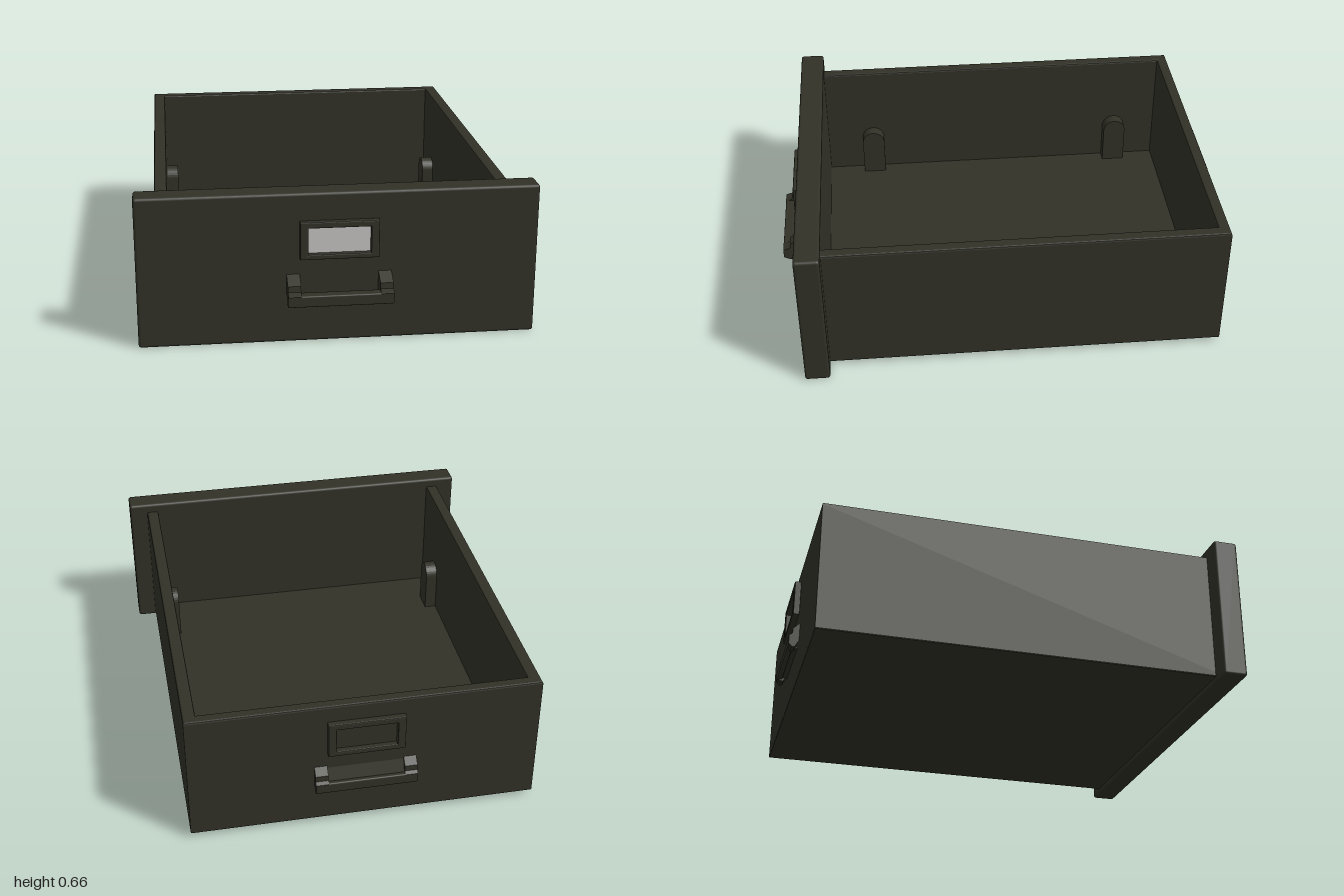
import * as THREE from 'three';
import { RoundedBoxGeometry } from 'three/addons/geometries/RoundedBoxGeometry.js';

export function createModel() {
  const model = new THREE.Group();
  const metal = new THREE.MeshStandardMaterial({ color: 0x313127 });
  metal.name = 'darkOliveMetal';
  const paper = new THREE.MeshStandardMaterial({ color: 0xc8c4c4 });
  paper.name = 'paleCard';

  const add = (parent, name, geometry, material = metal) => {
    const mesh = new THREE.Mesh(geometry, material);
    mesh.name = name;
    parent.add(mesh);
    return mesh;
  };
  // Box given by its limits on each axis, edges softened by r
  const box = (x0, x1, y0, y1, z0, z1, r = 0) => {
    const s = [x1 - x0, y1 - y0, z1 - z0];
    const g = r ? new RoundedBoxGeometry(...s, 2, r) : new THREE.BoxGeometry(...s);
    return g.translate((x0 + x1) / 2, (y0 + y1) / 2, (z0 + z1) / 2);
  };
  const rect = (target, x0, x1, y0, y1) => {
    target.moveTo(x0, y0).lineTo(x1, y0).lineTo(x1, y1).lineTo(x0, y1).closePath();
    return target;
  };
  // Rectangular ring with softened edges, standing from z = 0 to depth
  const ring = (outer, inner, depth, b) => {
    const [x0, x1, y0, y1] = outer;
    const shape = rect(new THREE.Shape(), x0 + b, x1 - b, y0 + b, y1 - b);
    const [u0, u1, v0, v1] = inner;
    shape.holes.push(rect(new THREE.Path(), u0 - b, u1 + b, v0 - b, v1 + b));
    return new THREE.ExtrudeGeometry(shape, {
      depth: depth - 2 * b, bevelThickness: b, bevelSize: b, bevelSegments: 2,
    }).translate(0, 0, b);
  };

  // Open tray: four walls and a floor
  const walls = ring([-0.755, 0.755, -0.84, 0.955], [-0.7, 0.7, -0.795, 0.905], 0.595, 0.008);
  add(model, 'trayWalls', walls.rotateX(-Math.PI / 2).translate(0, 0.02, 0));
  add(model, 'trayFloor', box(-0.745, 0.745, 0.021, 0.055, -0.945, 0.83));

  // Front panel, wider and taller than the tray
  add(model, 'frontPanel', box(-0.84, 0.84, 0, 0.657, 0.795, 0.905, 0.012));

  // Round-topped pegs along the inner side walls
  const pegShape = new THREE.Shape();
  pegShape.moveTo(-0.055, 0.04).lineTo(0.055, 0.04).lineTo(0.055, 0.235);
  pegShape.absarc(0, 0.235, 0.055, 0, Math.PI, false);
  const pegGeometry = new THREE.ExtrudeGeometry(pegShape, {
    depth: 0.065, bevelEnabled: false, curveSegments: 8,
  }).rotateY(Math.PI / 2);
  for (const side of [-1, 1]) {
    for (const z of [-0.695, 0.565]) {
      add(model, 'innerPeg', pegGeometry).position.set(side < 0 ? -0.71 : 0.645, 0, z);
    }
  }

  // Label holder and pull, built outwards from z = 0
  const fittings = (name, frameDepth, pullDepth, cardMaterial, solidPull) => {
    const group = new THREE.Group();
    group.name = name;
    add(group, 'labelFrame', ring([-0.165, 0.165, 0.375, 0.54], [-0.13, 0.13, 0.398, 0.512], frameDepth, 0.005));
    add(group, 'labelCard', box(-0.135, 0.135, 0.393, 0.517, -0.004, 0.004), cardMaterial);

    // Side profile of the arms: sloping top, blunt nose
    const d = pullDepth;
    const arm = new THREE.Shape([
      [-0.01, 0.305], [0, 0.305], [0.65 * d, 0.275], [0.68 * d, 0.25], [d, 0.24],
      [d, 0.2], [0.68 * d, 0.185], [0.4 * d, 0.185], [-0.01, 0.235],
    ].map(([z, y]) => new THREE.Vector2(-z, y)));
    const armGeometry = new THREE.ExtrudeGeometry(arm, { depth: 0.055, bevelEnabled: false })
      .rotateY(Math.PI / 2);
    for (const x of [-0.22, 0.165]) add(group, 'pullArm', armGeometry).position.x = x;
    add(group, 'pullBar', box(-0.22, 0.22, 0.193, 0.242, 0.5 * d, d, 0.006));
    if (solidPull) {
      // Sloping plate closing the gap between the arms
      const web = new THREE.Shape([
        [-0.01, 0.295], [0, 0.295], [0.6 * d, 0.23], [0.6 * d, 0.2], [-0.01, 0.2],
      ].map(([z, y]) => new THREE.Vector2(-z, y)));
      add(group, 'pullWeb', new THREE.ExtrudeGeometry(web, { depth: 0.34, bevelEnabled: false })
        .rotateY(Math.PI / 2).translate(-0.17, 0, 0));
    }
    model.add(group);
    return group;
  };
  fittings('frontFittings', 0.028, 0.095, paper, false).position.z = 0.905;
  const back = fittings('backFittings', 0.03, 0.045, metal, true);
  back.rotation.y = Math.PI;
  back.position.z = -0.955;

  return model;
}
